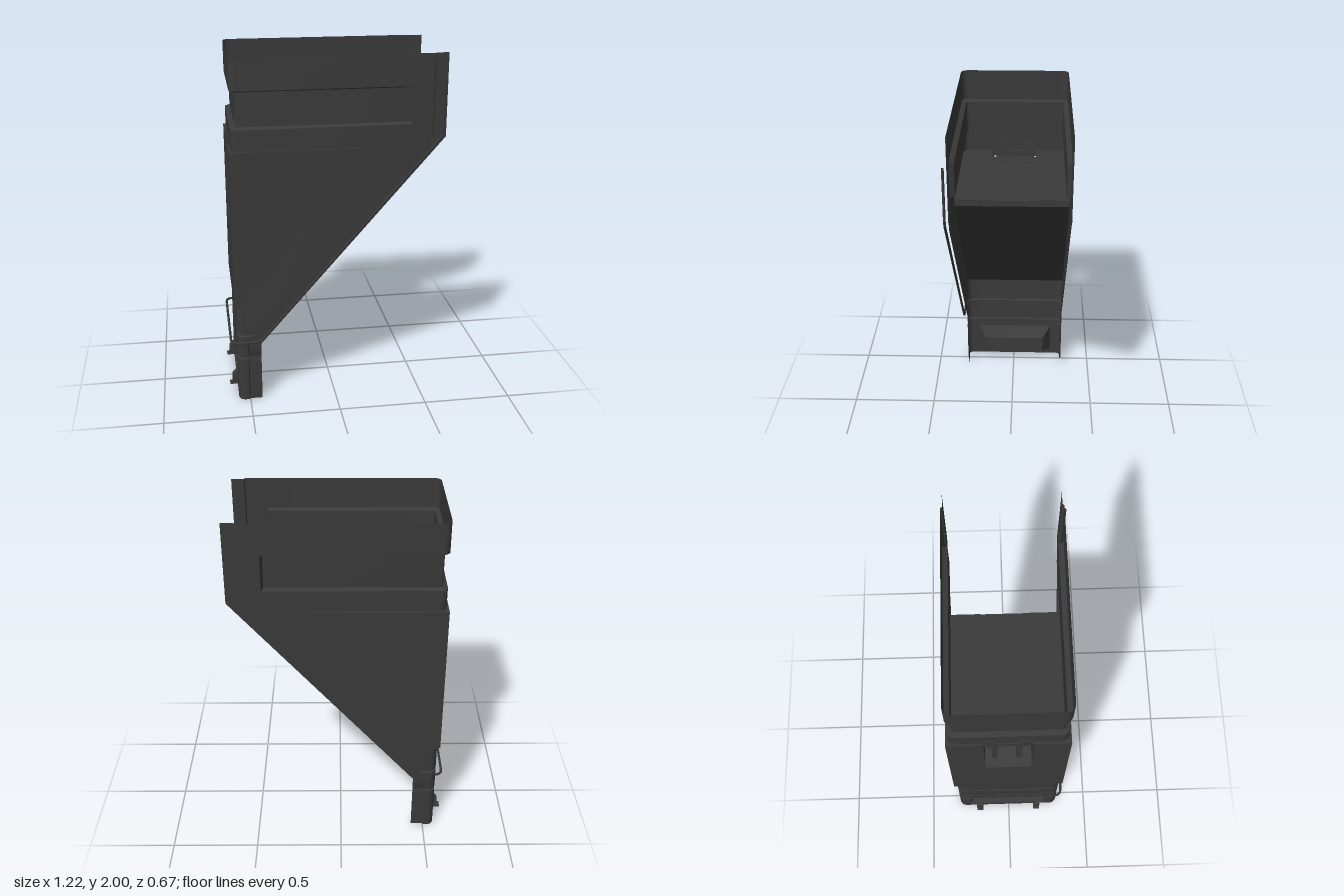
import * as THREE from 'three';
import { toCreasedNormals } from 'three/addons/utils/BufferGeometryUtils.js';

const material = new THREE.MeshStandardMaterial({ color: 0x3a3a3a, side: THREE.DoubleSide });
const BACK = -0.565, HALF = 0.316, R = 0.04;

// Sheet through rows of points; skip(row, column) leaves an opening
function sheet(rows, skip = () => false) {
  const n = rows[0].length, index = [];
  for (let j = 0; j < rows.length - 1; j++) {
    for (let i = 0; i < n - 1; i++) {
      if (skip(j, i)) continue;
      const a = j * n + i, b = a + n;
      index.push(a, a + 1, b, b, a + 1, b + 1);
    }
  }
  const g = new THREE.BufferGeometry();
  g.setAttribute('position', new THREE.Float32BufferAttribute(rows.flat(2), 3));
  g.setIndex(index);
  return toCreasedNormals(g, 0.5);
}

// Profile in x, y extruded between two z values
function slab(profile, z0, z1) {
  const shape = new THREE.Shape(profile.map(([x, y]) => new THREE.Vector2(x, y)));
  return new THREE.ExtrudeGeometry(shape, { depth: z1 - z0, bevelEnabled: false }).translate(0, 0, z0);
}

function box(x0, x1, y0, y1, z0, z1) {
  return new THREE.BoxGeometry(x1 - x0, y1 - y0, z1 - z0)
    .translate((x0 + x1) / 2, (y0 + y1) / 2, (z0 + z1) / 2);
}

// x of the open edge: vertical neck, long slope, vertical top
const edgeAt = (y) => THREE.MathUtils.mapLinear(THREE.MathUtils.clamp(y, 0.35, 1.54), 0.35, 1.54, -0.43, 0.611);

// One U-shaped row of the shell
function shellRow([y, inset, band]) {
  const e = edgeAt(y);
  const b = e - (y < 0.36 || y > 1.53 ? 0.07 : 0.09), c = b - 0.006;
  const d = Math.min(0.42, c - 0.002), f = Math.min(0.408, d - 0.002);
  const deep = inset + (band ? 0.027 : 0);
  const rim = Math.max(inset, 0.01);
  const half = [[e, HALF - rim], [b, HALF - rim], [c, HALF - inset], [d, HALF - inset], [f, HALF - deep]];
  for (let k = 0; k <= 5; k++) {
    const t = (k / 5) * Math.PI / 2, r = R - deep;
    half.push([BACK + R - r * Math.sin(t), HALF - R + r * Math.cos(t)]);
  }
  half.push([BACK + deep, 0.24], [BACK + deep, 0.13]);
  const mirrored = half.map(([x, z]) => [x, -z]).reverse();
  return [...half, ...mirrored].map(([x, z]) => [x, y, z]);
}

export function createModel() {
  const model = new THREE.Group();
  const body = new THREE.Group();
  body.name = 'body';
  body.position.z = -0.004;
  model.add(body);
  const add = (name, geometry, parent = body) => {
    const mesh = new THREE.Mesh(geometry, material);
    mesh.name = name;
    parent.add(mesh);
  };

  // Shell rows: height, inset, recessed band
  const rows = [
    [0, 0], [0.04, 0], [0.22, 0], [0.262, 0], [0.266, 0.012], [0.278, 0.012], [0.282, 0],
    [0.35, 0], [0.361, 0], [0.405, 0], [0.41, 0.01], [0.425, 0.01], [0.43, 0],
    [1.04, 0], [1.46, 0], [1.53, 0], [1.54, 0],
    [1.617, 0], [1.627, 0, true], [1.815, 0, true], [1.825, 0], [2, 0],
  ];
  const n = shellRow(rows[0]).length, mid = n / 2 - 1;
  add('shell', sheet(rows.map(shellRow), (j, i) =>
    (rows[j][0] === 0.04 && Math.abs(i - mid) <= 1) || (rows[j][0] === 1.04 && i === mid)));

  // Wedge insert: two solid sides and a notched middle
  const wedge = [[-0.577, 0.6], [-0.545, 0.588], [0.165, 1.46], [0.165, 1.498], [-0.577, 1.498]];
  const notched = [...wedge.slice(0, 3), [0.165, 1.494], [-0.47, 1.494], [-0.47, 1.11], [-0.577, 1.04]];
  add('wedgeLeftSide', slab(wedge, 0.13, 0.329));
  add('wedgeRightSide', slab(wedge, -0.329, -0.13));
  add('wedgeMiddle', slab(notched, -0.13, 0.13));

  // Latch parts in the notch
  for (const z of [-0.075, 0.06]) {
    add('latchPad', box(-0.47, -0.375, 1.48, 1.5, z - 0.045, z + 0.045));
    add('latchRail', box(-0.535, -0.47, 1.09, 1.46, z - 0.015, z + 0.015));
  }
  for (const s of [-1, 1]) {
    add('latchTab', box(-0.572, -0.545, 1.45, 1.545, s * 0.088 - 0.024, s * 0.088 + 0.024));
  }
  add('latchBar', box(-0.572, -0.55, 1.46, 1.5, -0.07, 0.07));

  // Tapered pocket in the foot
  const ring = (x, y0, y1, z) => [[x, y0, -z], [x, y0, z], [x, y1, z], [x, y1, -z], [x, y0, -z]];
  add('footPocket', sheet([
    ring(BACK, 0.04, 0.22, 0.24), ring(-0.545, 0.045, 0.215, 0.235),
    ring(-0.485, 0.07, 0.17, 0.19), ring(-0.485, 0.12, 0.12, 0),
  ]));
  for (const s of [-1, 1]) {
    const z = s * 0.185;
    add('footBracket', slab([[-0.54, 0.05], [-0.598, 0.055], [-0.595, 0.105], [-0.54, 0.16]], z - 0.02, z + 0.02));
    add('footLip', box(-0.612, -0.545, 0.046, 0.054, z - 0.02, z + 0.02));
  }

  // Rod: round the back of the neck, then up the left edge
  const v = (x, y, z) => new THREE.Vector3(x, y, z);
  const path = new THREE.CurvePath();
  const line = (a, b) => path.add(new THREE.LineCurve3(a, b));
  const bend = (a, b, c) => path.add(new THREE.QuadraticBezierCurve3(a, b, c));
  const zl = 0.326, y0 = 0.375;
  bend(v(-0.56, y0, -0.3), v(-0.601, y0, -0.3), v(-0.601, y0, -0.25));
  line(v(-0.601, y0, -0.25), v(-0.601, y0, 0.28));
  bend(v(-0.601, y0, 0.28), v(-0.601, y0, zl), v(-0.555, y0, zl));
  line(v(-0.555, y0, zl), v(-0.46, y0, zl));
  bend(v(-0.46, y0, zl), v(-0.435, y0, zl), v(-0.418, 0.394, zl));
  line(v(-0.418, 0.394, zl), v(0.565, 1.525, zl));
  bend(v(0.565, 1.525, zl), v(0.587, 1.55, zl), v(0.587, 1.585, zl));
  line(v(0.587, 1.585, zl), v(0.587, 1.862, zl));
  add('rod', new THREE.TubeGeometry(path, 200, 0.007, 8), model);
  return model;
}
